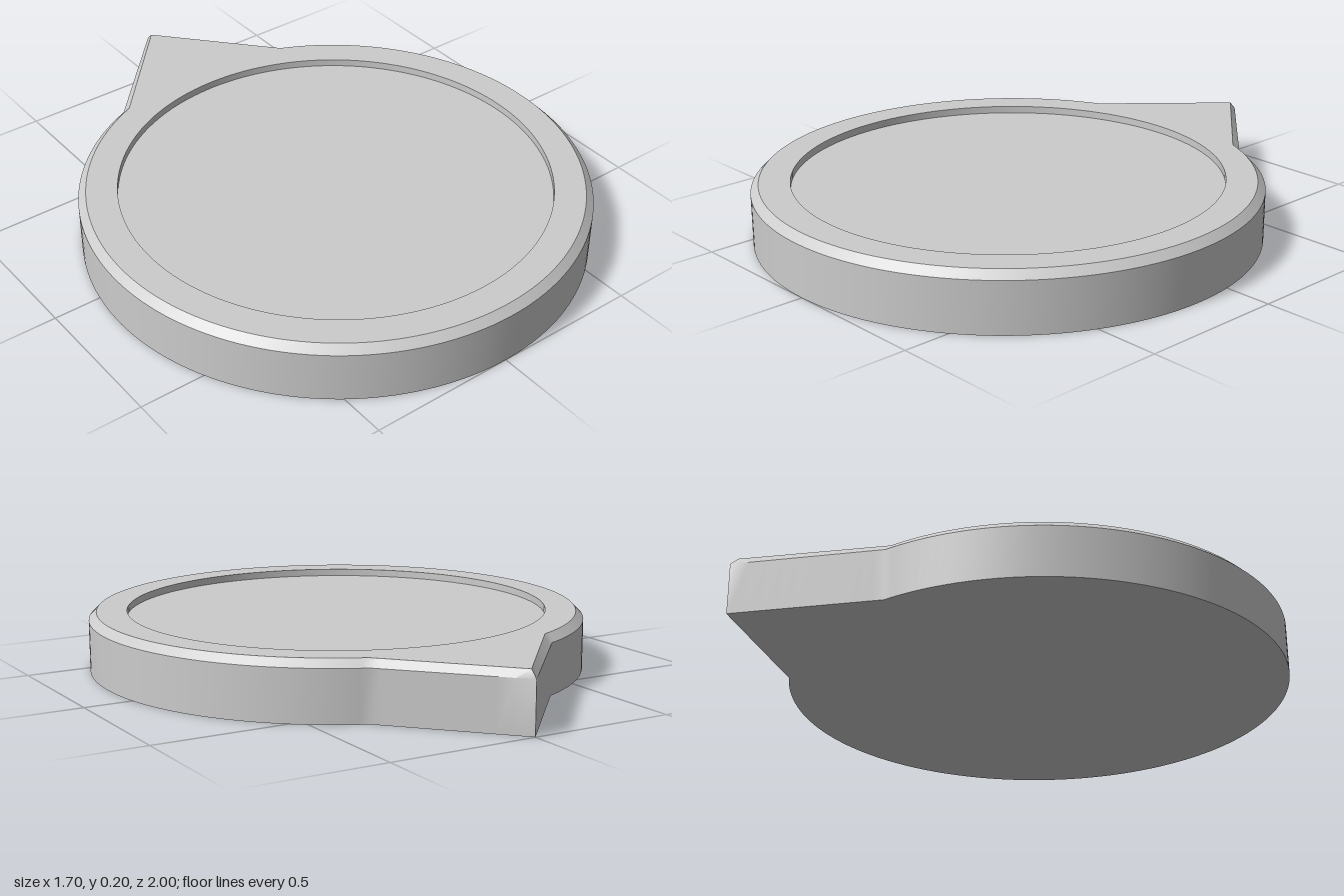
import * as THREE from 'three';
import { toCreasedNormals } from 'three/addons/utils/BufferGeometryUtils.js';

const SEGMENTS = 168;
const STEP = (Math.PI * 2) / SEGMENTS;
const SPREAD = 11 * STEP; // half angle covered by the pointer
const CENTER_Z = 0.15;

// Radius functions of the angle a, measured from the back (-z) towards +x
const circle = (r) => () => r;
const teardrop = (r, tip) => (a) => {
  const b = Math.abs(a);
  if (b >= SPREAD) return r;
  const slope = (tip - r * Math.cos(SPREAD)) / (r * Math.sin(SPREAD));
  return tip / (Math.cos(b) + slope * Math.sin(b));
};

// Joins a list of [radius function, height] rings into one surface
function loft(rings) {
  const positions = [];
  const point = ([radius, y], j) => {
    const k = j % SEGMENTS;
    const a = (k > SEGMENTS / 2 ? k - SEGMENTS : k) * STEP;
    const r = radius(a);
    return [r * Math.sin(a), y, CENTER_Z - r * Math.cos(a)];
  };
  for (let i = 0; i < rings.length - 1; i++) {
    const lower = rings[i], upper = rings[i + 1];
    for (let j = 0; j < SEGMENTS; j++) {
      const a = point(lower, j), b = point(lower, j + 1);
      const c = point(upper, j), d = point(upper, j + 1);
      if (lower[0](0) > 0) positions.push(...a, ...c, ...b);
      if (upper[0](0) > 0) positions.push(...b, ...c, ...d);
    }
  }
  const geometry = new THREE.BufferGeometry();
  geometry.setAttribute('position', new THREE.Float32BufferAttribute(positions, 3));
  return toCreasedNormals(geometry, 0.6);
}

export function createModel() {
  const group = new THREE.Group();
  const material = new THREE.MeshStandardMaterial({ color: 0xcccccc });
  const add = (name, rings) => {
    const mesh = new THREE.Mesh(loft(rings), material);
    mesh.name = name;
    group.add(mesh);
  };

  const height = 0.2, bevel = 0.026, recessRadius = 0.72, floor = 0.175;
  const outer = teardrop(0.85, 1.15);
  const inset = teardrop(0.85 - bevel, 1.15 - bevel);

  // Disc with pointer: underside, side wall, bevel and flat rim
  add('pointedBody', [
    [circle(0), 0],
    [outer, 0],
    [outer, height - bevel],
    [inset, height],
    [circle(recessRadius), height],
  ]);

  // Shallow round recess in the top
  add('recess', [
    [circle(recessRadius), height],
    [circle(recessRadius), floor],
    [circle(0), floor],
  ]);

  return group;
}
